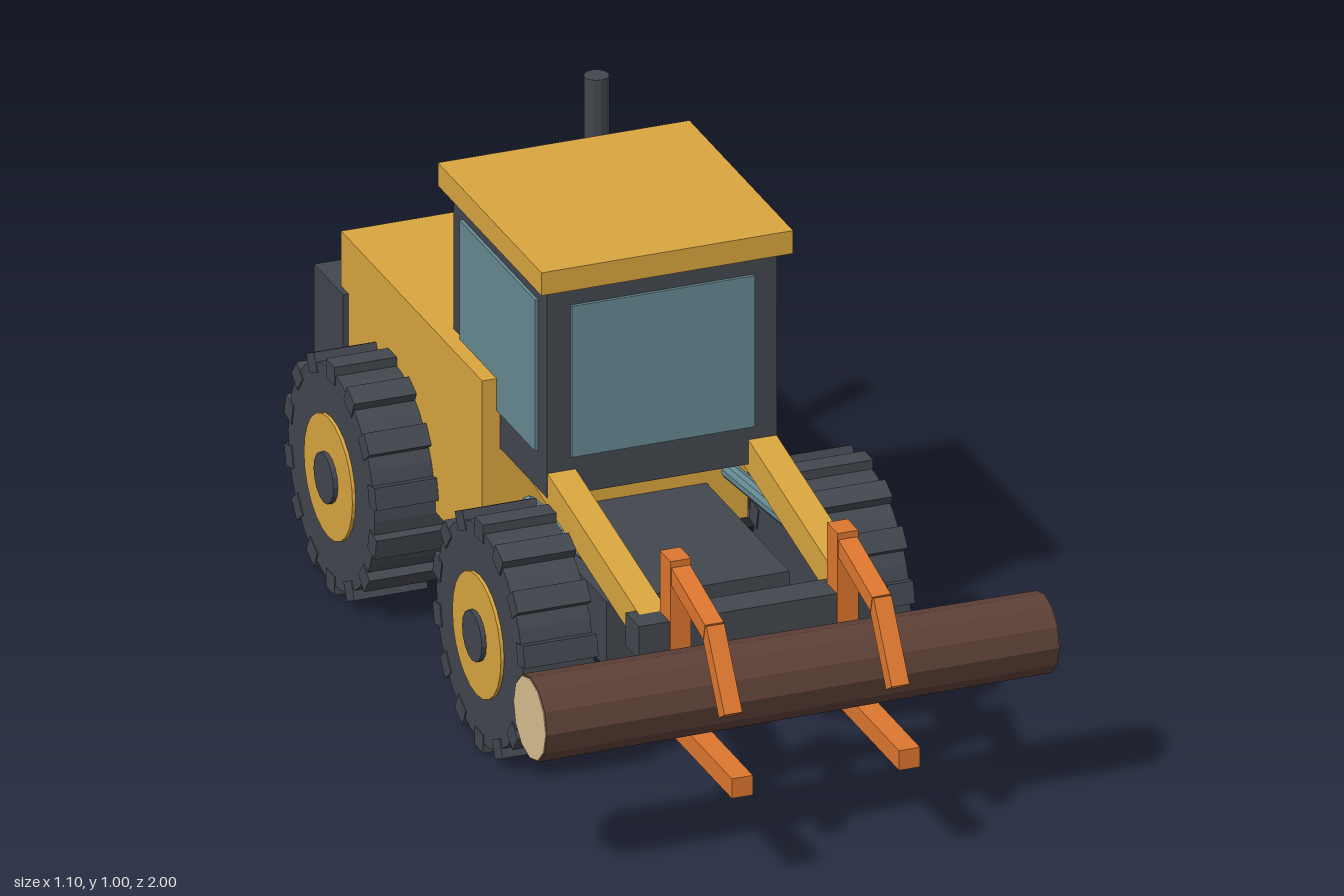
import * as THREE from 'three';

const mat = (name, color) => Object.assign(new THREE.MeshStandardMaterial({ color }), { name });

export function createModel() {
  const yellow = mat('yellow paint', 0xd9a63f);
  const dark = mat('dark grey', 0x42474e);
  const glass = mat('blue glass', 0x668992);
  const orange = mat('orange steel', 0xdd7730);
  const bark = mat('bark', 0x5d4037);
  const wood = mat('cut wood', 0xd8be90);
  [yellow, dark, glass, orange, bark, wood].forEach((m) => { m.flatShading = true; });

  const model = new THREE.Group();
  model.name = 'forestTractor';

  const add = (name, geometry, material, parent = model) => {
    const mesh = new THREE.Mesh(geometry, material);
    mesh.name = name;
    parent.add(mesh);
    return mesh;
  };
  // Box given by its limits on each axis
  const box = (name, material, [x0, x1], [y0, y1], [z0, z1], parent) => {
    const mesh = add(name, new THREE.BoxGeometry(x1 - x0, y1 - y0, z1 - z0), material, parent);
    mesh.position.set((x0 + x1) / 2, (y0 + y1) / 2, (z0 + z1) / 2);
    return mesh;
  };
  // Square bar in a side plane between two [z, y] points
  const bar = (name, material, x, width, thick, a, b, parent) => {
    const dz = b[0] - a[0], dy = b[1] - a[1];
    const mesh = add(name, new THREE.BoxGeometry(width, thick, Math.hypot(dz, dy)), material, parent);
    mesh.position.set(x, (a[1] + b[1]) / 2, (a[0] + b[0]) / 2);
    mesh.rotation.x = -Math.atan2(dy, dz);
  };
  // Cylinder lying along x
  const disc = (name, material, radius, x0, x1, sides, parent) => {
    const geometry = new THREE.CylinderGeometry(radius, radius, x1 - x0, sides).rotateZ(-Math.PI / 2);
    add(name, geometry, material, parent).position.x = (x0 + x1) / 2;
  };

  // Body
  box('chassis', dark, [-0.195, 0.195], [0.195, 0.34], [-0.87, 0.315]);
  box('engineHood', yellow, [-0.283, 0.283], [0.25, 0.645], [-0.885, -0.13]);
  box('counterweight', dark, [-0.295, 0.295], [0.235, 0.525], [-1, -0.845]);
  const exhaust = add('exhaust', new THREE.CylinderGeometry(0.026, 0.026, 0.36, 12), dark);
  exhaust.position.set(0.195, 0.795, -0.72);

  // Cab with thin glass plates on all four sides
  const cab = new THREE.Group();
  cab.name = 'cab';
  model.add(cab);
  box('cabFrame', dark, [-0.245, 0.245], [0.492, 0.95], [-0.378, 0.122], cab);
  box('roof', yellow, [-0.268, 0.268], [0.95, 1], [-0.405, 0.15], cab);
  box('frontWindow', glass, [-0.195, 0.195], [0.575, 0.905], [0.121, 0.129], cab);
  box('rearWindow', glass, [-0.195, 0.195], [0.575, 0.905], [-0.385, -0.377], cab);
  for (const s of [-1, 1]) {
    const side = box('sideWindow', glass, [-0.004, 0.004], [0.575, 0.905], [-0.33, 0.075], cab);
    side.position.x = s * 0.248;
  }

  // Wheels, built for the left side and turned around for the right
  for (const s of [-1, 1]) {
    for (const z of [0.185, -0.61]) {
      const wheel = new THREE.Group();
      wheel.name = z > 0 ? 'frontWheel' : 'rearWheel';
      wheel.position.set(0, 0.25, z);
      wheel.rotation.y = s > 0 ? 0 : Math.PI;
      model.add(wheel);
      disc('tire', dark, 0.232, 0.261, 0.413, 28, wheel);
      disc('rim', yellow, 0.13, 0.35, 0.42, 24, wheel);
      disc('hub', dark, 0.053, 0.36, 0.43, 16, wheel);
      const lugs = 14;
      for (let i = 0; i < lugs; i++) {
        const a = (i / lugs) * Math.PI * 2;
        const lug = add('treadLug', new THREE.BoxGeometry(0.157, 0.04, 0.046), dark, wheel);
        lug.position.set(0.337, -Math.cos(a) * 0.229, -Math.sin(a) * 0.229);
        lug.rotation.x = a;
      }
    }
  }

  // Lifting arms, hydraulic rams and the grapple
  box('crossbar', dark, [-0.265, 0.265], [0.378, 0.45], [0.593, 0.665]);
  for (const s of [-1, 1]) {
    bar('liftArm', yellow, s * 0.214, 0.06, 0.07, [-0.065, 0.546], [0.635, 0.41]);

    const from = new THREE.Vector3(s * 0.214, 0.397, -0.055);
    const to = new THREE.Vector3(s * 0.214, 0.445, 0.45);
    const dir = to.clone().sub(from);
    const ram = add('hydraulicRam', new THREE.CylinderGeometry(0.018, 0.018, dir.length(), 10), glass);
    ram.position.copy(from).add(to).multiplyScalar(0.5);
    ram.quaternion.setFromUnitVectors(new THREE.Vector3(0, 1, 0), dir.normalize());

    const fork = new THREE.Group();
    fork.name = 'grappleFork';
    fork.position.x = s * 0.178;
    model.add(fork);
    box('forkUpright', orange, [-0.022, 0.022], [0.21, 0.583], [0.613, 0.67], fork);
    box('forkTine', orange, [-0.0225, 0.0225], [0.209, 0.252], [0.61, 1], fork);
    bar('upperClaw', orange, 0, 0.04, 0.037, [0.65, 0.555], [0.845, 0.504], fork);
    bar('clawTip', orange, 0, 0.038, 0.036, [0.84, 0.512], [0.937, 0.36], fork);
  }

  // Tapered tree trunk with pale cut ends
  const trunk = new THREE.Group();
  trunk.name = 'treeTrunk';
  trunk.position.set(0, 0.355, 0.793);
  model.add(trunk);
  add('trunkBark', new THREE.CylinderGeometry(0.083, 0.089, 1.094, 12).rotateZ(-Math.PI / 2), bark, trunk);
  disc('cutEnd', wood, 0.08, 0.544, 0.549, 12, trunk);
  disc('cutEnd', wood, 0.086, -0.549, -0.544, 12, trunk);

  return model;
}
